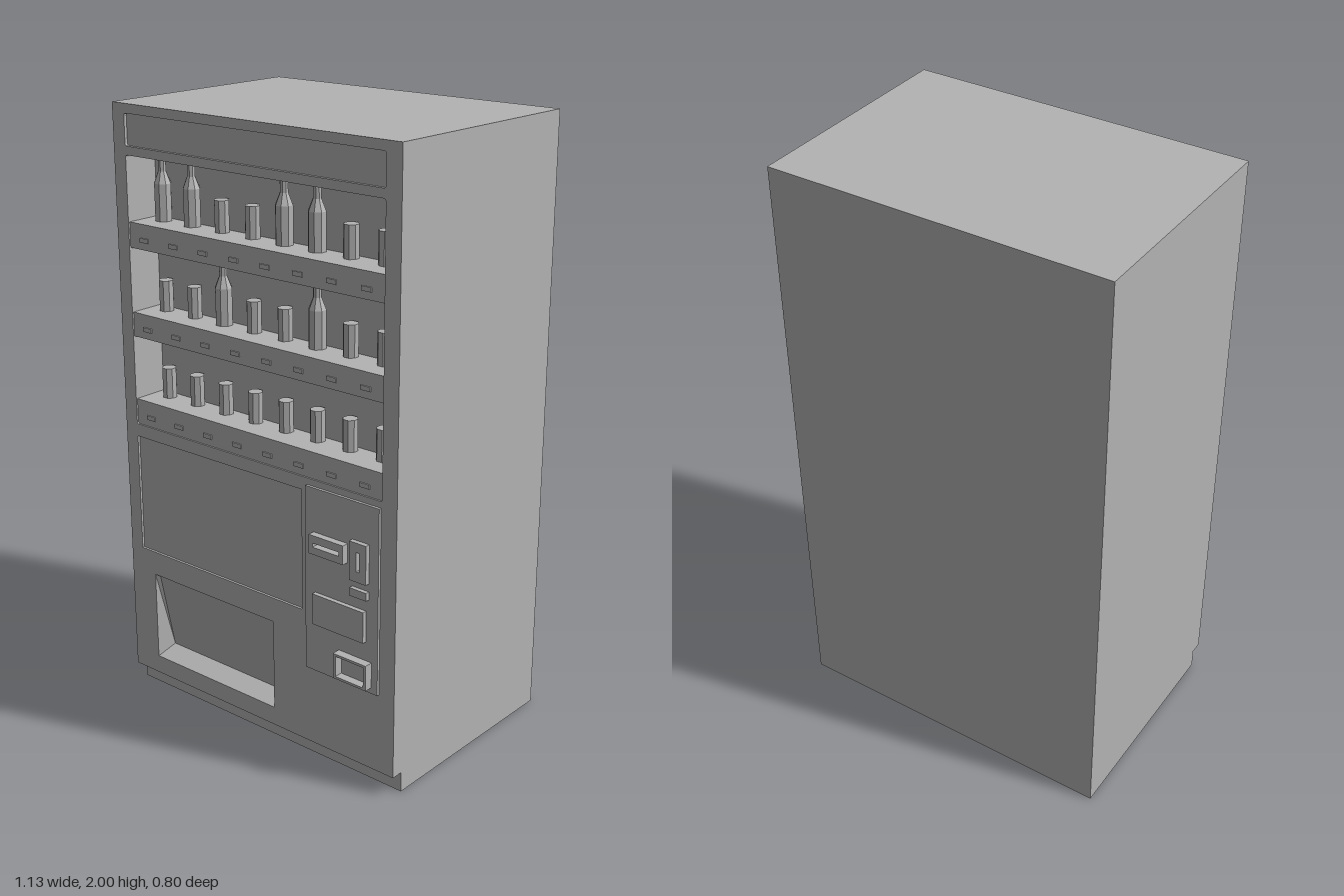
import * as THREE from 'three';

const FRONT = 0.363, BACK = -0.4, WALL = 0.24, HALF = 0.563, FOOT = 0.067;

export function createModel() {
  const group = new THREE.Group();
  const grey = new THREE.MeshStandardMaterial({ color: 0xb3b3b3 });
  grey.name = 'plain grey';
  grey.flatShading = true;

  const add = (name, geometry) => {
    const mesh = new THREE.Mesh(geometry, grey);
    mesh.name = name;
    group.add(mesh);
    return mesh;
  };
  // Box given by its limits on each axis
  const block = (name, x0, x1, y0, y1, z0, z1) =>
    add(name, new THREE.BoxGeometry(x1 - x0, y1 - y0, z1 - z0))
      .position.set((x0 + x1) / 2, (y0 + y1) / 2, (z0 + z1) / 2);
  // Rectangular outline with small rounded corners
  const outline = (target, x0, x1, y0, y1, r) => {
    target.moveTo(x0 + r, y0);
    target.lineTo(x1 - r, y0);
    target.quadraticCurveTo(x1, y0, x1, y0 + r);
    target.lineTo(x1, y1 - r);
    target.quadraticCurveTo(x1, y1, x1 - r, y1);
    target.lineTo(x0 + r, y1);
    target.quadraticCurveTo(x0, y1, x0, y1 - r);
    target.lineTo(x0, y0 + r);
    target.quadraticCurveTo(x0, y0, x0 + r, y0);
    return target;
  };
  const rect = (target, x0, x1, y0, y1) => {
    target.moveTo(x0, y0);
    target.lineTo(x1, y0);
    target.lineTo(x1, y1);
    target.lineTo(x0, y1);
    target.closePath();
    return target;
  };
  // Plate with openings, extruded from z0 to z1
  const plate = (name, shape, holes, z0, z1) => {
    shape.holes.push(...holes);
    const geometry = new THREE.ExtrudeGeometry(shape, { depth: z1 - z0, bevelEnabled: false, curveSegments: 3 });
    add(name, geometry).position.z = z0;
  };

  // Cabinet, plinth and the front frame with its openings
  block('cabinet', -HALF, HALF, FOOT, 2, BACK, WALL);
  block('plinth', -HALF, HALF, 0, FOOT, BACK, 0.322);
  plate('frontFrame', rect(new THREE.Shape(), -HALF, HALF, FOOT, 2), [
    outline(new THREE.Path(), -0.512, 0.508, 1.87, 1.97, 0.008),
    outline(new THREE.Path(), -0.512, 0.508, 0.963, 1.842, 0.008),
    rect(new THREE.Path(), -0.512, 0.2, 0.52, 0.92),
    rect(new THREE.Path(), -0.455, 0.078, 0.13, 0.437),
  ], WALL, FRONT);

  // Shallow recessed panels
  block('headerPanel', -0.515, 0.511, 1.865, 1.975, WALL, FRONT - 0.01);
  block('lowerPanel', -0.515, 0.203, 0.517, 0.923, WALL, FRONT - 0.008);

  // Shelves with bottles, cans and one selector button below each
  const bottle = [[0, 0], [0.028, 0], [0.028, 0.118], [0.013, 0.155], [0.013, 0.195], [0, 0.195]];
  const can = [[0, 0], [0.024, 0], [0.024, 0.1], [0, 0.1]];
  const lathe = (profile) => {
    const g = new THREE.LatheGeometry(profile.map(([x, y]) => new THREE.Vector2(x, y)), 8);
    return g.rotateY(Math.PI / 8);
  };
  const bottleGeometry = lathe(bottle), canGeometry = lathe(can);
  const rows = [
    { top: 1.632, bottom: 1.55, stock: 'BBccBBcc' },
    { top: 1.34, bottom: 1.26, stock: 'ccBccBcc' },
    { top: 1.048, bottom: 0.963, stock: 'cccccccc' },
  ];
  for (const { top, bottom, stock } of rows) {
    block('shelf', -0.512, 0.508, bottom, top, WALL, FRONT - 0.005);
    [...stock].forEach((kind, i) => {
      const x = -0.448 + i * 0.127;
      const drink = kind === 'B' ? add('bottle', bottleGeometry) : add('can', canGeometry);
      drink.position.set(x, top, 0.272);
      block('selectorButton', x - 0.018, x + 0.018, bottom + 0.024, bottom + 0.038, FRONT - 0.006, FRONT - 0.001);
    });
  }

  // Collection tray: sloping flap, floor and sides tapering inwards
  const outer = [[-0.455, 0.13, FRONT], [0.078, 0.13, FRONT], [0.078, 0.437, FRONT], [-0.455, 0.437, FRONT]];
  const inner = [[-0.443, 0.155, 0.295], [0.068, 0.155, 0.295], [0.068, 0.43, 0.352], [-0.443, 0.43, 0.352]];
  const points = [];
  const quad = (a, b, c, d) => points.push(...a, ...b, ...c, ...a, ...c, ...d);
  quad(...inner);
  for (let i = 0; i < 4; i++) {
    const j = (i + 1) % 4;
    quad(outer[i], outer[j], inner[j], inner[i]);
  }
  const tray = new THREE.BufferGeometry();
  tray.setAttribute('position', new THREE.Float32BufferAttribute(points, 3));
  tray.computeVertexNormals();
  add('collectionTray', tray);

  // Payment panel
  const PANEL = 0.372;
  block('paymentPanel', 0.222, 0.505, 0.333, 0.942, FRONT - 0.01, PANEL);
  plate('noteReader', rect(new THREE.Shape(), 0.255, 0.388, 0.738, 0.8),
    [rect(new THREE.Path(), 0.27, 0.372, 0.762, 0.775)], PANEL, 0.395);
  plate('coinSlot', rect(new THREE.Shape(), 0.406, 0.47, 0.694, 0.82),
    [rect(new THREE.Path(), 0.433, 0.445, 0.728, 0.79)], PANEL, 0.388);
  block('returnButton', 0.406, 0.47, 0.642, 0.668, PANEL, 0.386);
  block('priceDisplay', 0.262, 0.46, 0.5, 0.602, PANEL, 0.387);
  plate('changeCup', rect(new THREE.Shape(), 0.355, 0.482, 0.353, 0.437),
    [rect(new THREE.Path(), 0.365, 0.472, 0.361, 0.429)], PANEL, 0.4);

  return group;
}
